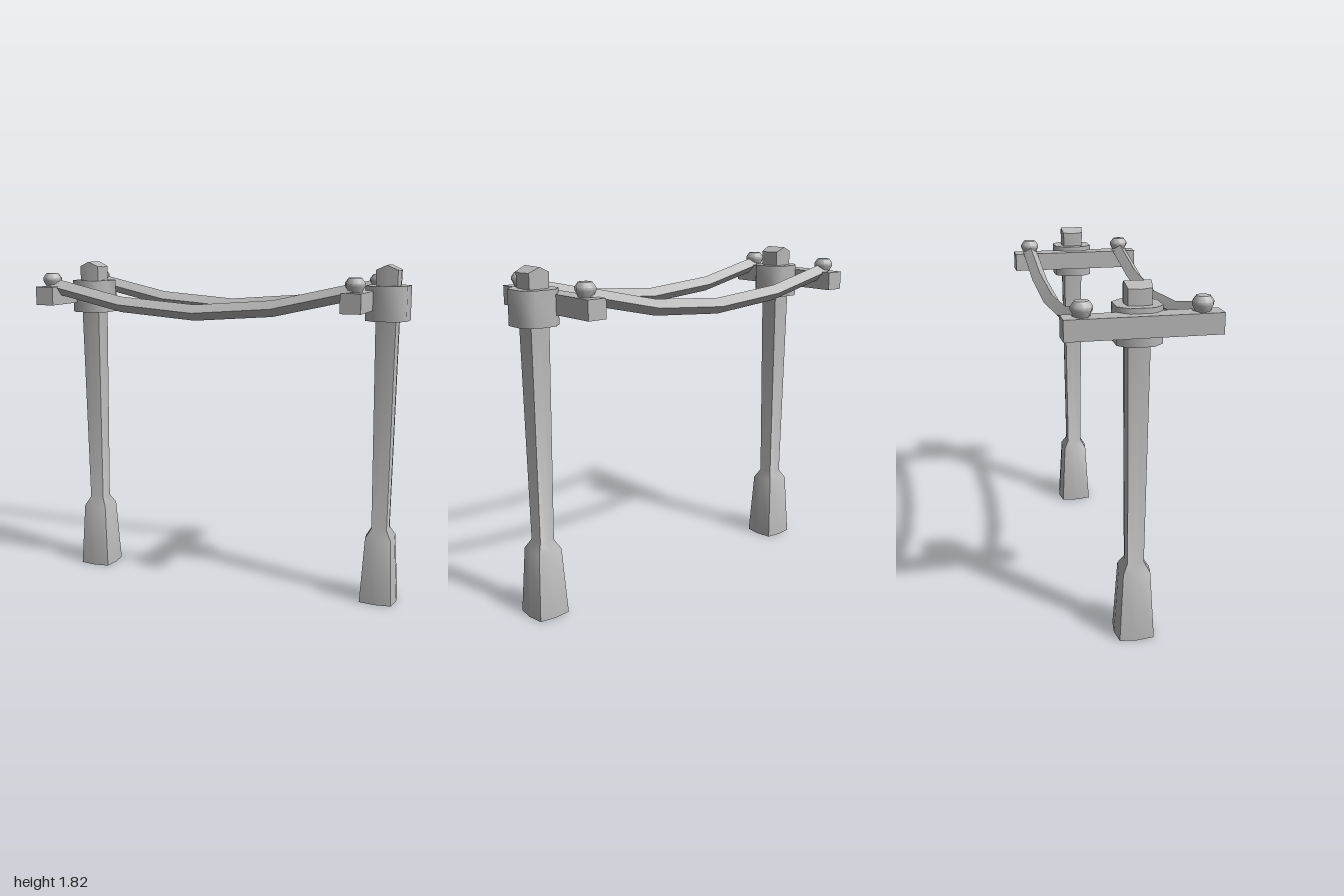
import * as THREE from 'three';
import { toCreasedNormals } from 'three/addons/utils/BufferGeometryUtils.js';

const grey = new THREE.MeshStandardMaterial({ color: 0xb8b8b8 });
grey.name = 'grey';

// Closed skin over equal rings of [x, y, z] points, with a fan at each end
function loft(rings) {
  const n = rings[0].length;
  const points = rings.flat();
  const index = [];
  for (let i = 0; i < rings.length - 1; i++) {
    for (let j = 0; j < n; j++) {
      const a = i * n + j, b = i * n + (j + 1) % n;
      index.push(a, b, a + n, b, b + n, a + n);
    }
  }
  [0, rings.length - 1].forEach((r, end) => {
    const p = rings[r][n / 4], q = rings[r][n * 3 / 4];
    const centre = points.push(p.map((v, k) => (v + q[k]) / 2)) - 1;
    for (let j = 0; j < n; j++) {
      const a = r * n + j, b = r * n + (j + 1) % n;
      index.push(centre, end ? a : b, end ? b : a);
    }
  });
  const geo = new THREE.BufferGeometry();
  geo.setAttribute('position', new THREE.Float32BufferAttribute(points.flat(), 3));
  geo.setIndex(index);
  return toCreasedNormals(geo, 0.8);
}

// Square section with slightly bulging sides; the roof drops away from x = 0
function bulgedSquare(y, r, roof = 0) {
  const c = r * 0.88;
  return [[r, 0], [c, -c], [0, -r], [-c, -c], [-r, 0], [-c, c], [0, r], [c, c]]
    .map(([x, z]) => [x, y - roof * Math.abs(x), z]);
}

// Square with cut corners
function cutSquare(y, r, f) {
  return [[r, f], [r, -f], [f, -r], [-f, -r], [-r, -f], [-r, f], [-f, r], [f, r]]
    .map(([x, z]) => [x, y, z]);
}

export function createModel() {
  const model = new THREE.Group();
  const add = (name, geo, x, y, z) => {
    const mesh = new THREE.Mesh(geo, grey);
    mesh.name = name;
    mesh.position.set(x, y, z);
    model.add(mesh);
  };

  const poleGeo = loft([
    bulgedSquare(0, 0.1), bulgedSquare(0.36, 0.078), bulgedSquare(0.41, 0.047),
    bulgedSquare(1.53, 0.06), bulgedSquare(1.815, 0.065, 0.45),
  ]);
  const collarGeo = loft([cutSquare(1.53, 0.108, 0.058), cutSquare(1.71, 0.108, 0.058)]);
  const armGeo = new THREE.BoxGeometry(0.105, 0.1, 0.735);
  const knobGeo = toCreasedNormals(new THREE.LatheGeometry(
    [[0, 1.68], [0.033, 1.68], [0.052, 1.718], [0.052, 1.732], [0.034, 1.757], [0, 1.759]]
      .map(([r, y]) => new THREE.Vector2(r, y)), 8), 0.8);

  // Poles with collar, crossarm and knobs
  for (const [poleX, armX, side] of [[-0.84, -0.947, 'right'], [0.887, 0.777, 'left']]) {
    add(side + 'Pole', poleGeo, poleX, 0, 0);
    add(side + 'Collar', collarGeo, poleX, 0, 0);
    add(side + 'Crossarm', armGeo, armX, 1.635, 0);
    for (const z of [-0.277, 0.277]) add(side + 'Knob', knobGeo, armX, 0, z);
  }

  // Sagging cables with a diamond section
  const r = 0.042;
  const cableGeo = loft([[-0.947, 1.69], [-0.52, 1.595], [-0.085, 1.562], [0.35, 1.595], [0.777, 1.69]]
    .map(([x, y]) => [[x, y + r, 0], [x, y, r], [x, y - r, 0], [x, y, -r]]));
  add('backCable', cableGeo, 0, 0, -0.277);
  add('frontCable', cableGeo, 0, 0, 0.277);

  return model;
}
